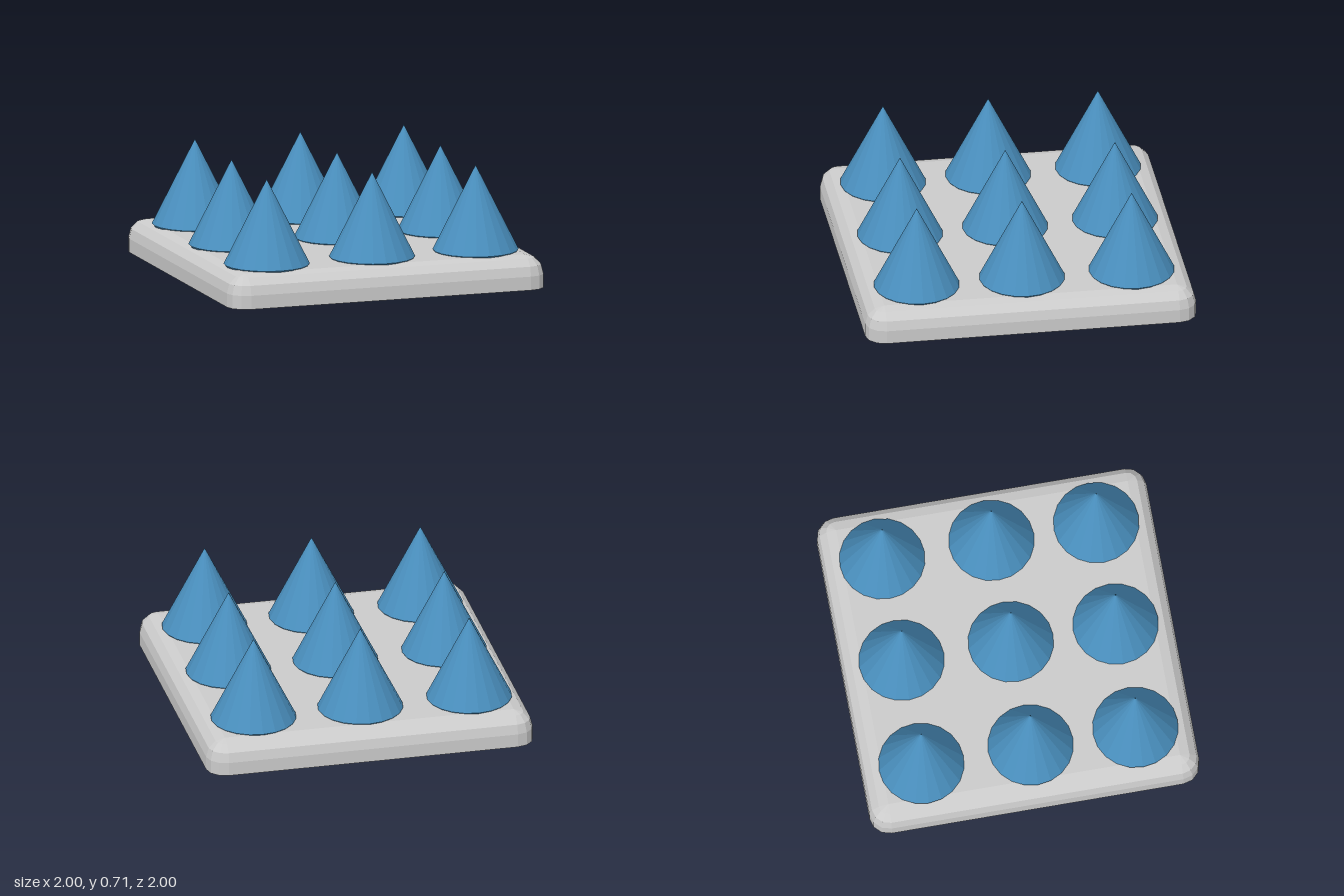
import * as THREE from 'three';

const STEPS = 3; // facets per rounded corner
const R = 0.115; // edge radius of the slab
const HEIGHT = 0.198;

// Rounded-rectangle loop, counter-clockwise seen from above
function slabLoop(radius, y) {
  const c = 1 - R, loop = [];
  [[1, -1], [-1, -1], [-1, 1], [1, 1]].forEach(([sx, sz], q) => {
    for (let i = 0; i <= STEPS; i++) {
      const a = (q + i / STEPS) * Math.PI / 2;
      loop.push([sx * c + radius * Math.cos(a), y, sz * c - radius * Math.sin(a)]);
    }
  });
  return loop;
}

// Flat-bottomed slab with rounded top edges and corners
function slabGeometry() {
  const loops = [slabLoop(R, 0)];
  for (let j = 0; j <= STEPS; j++) {
    const t = j / STEPS * Math.PI / 2;
    loops.push(slabLoop(R * Math.cos(t), HEIGHT - R + R * Math.sin(t)));
  }
  const n = loops[0].length, index = [];
  const bottom = loops.length * n, top = bottom + 1;
  for (let i = 0; i < n; i++) {
    const k = (i + 1) % n;
    for (let j = 0; j < loops.length - 1; j++) {
      const a = j * n + i, b = j * n + k;
      index.push(a, b, b + n, a, b + n, a + n);
    }
    index.push(bottom, k, i, top, bottom - n + i, bottom - n + k);
  }
  const positions = [...loops.flat(), [0, 0, 0], [0, HEIGHT, 0]].flat();
  const geometry = new THREE.BufferGeometry();
  geometry.setAttribute('position', new THREE.Float32BufferAttribute(positions, 3));
  geometry.setIndex(index);
  geometry.computeVertexNormals();
  return geometry;
}

export function createModel() {
  const model = new THREE.Group();
  model.name = 'spikedPlate';

  const grey = new THREE.MeshStandardMaterial({ color: 0xcccccc, flatShading: true });
  const blue = new THREE.MeshStandardMaterial({ color: 0x4a90bf, flatShading: true });

  const base = new THREE.Mesh(slabGeometry(), grey);
  base.name = 'base';
  model.add(base);

  // Cone with a small undercut rim at its foot
  const profile = [[0, 0.19], [0.247, 0.19], [0.257, 0.203], [0, 0.715]];
  const coneGeometry = new THREE.LatheGeometry(profile.map(([x, y]) => new THREE.Vector2(x, y)), 20);

  // Three by three grid of spikes
  const spikes = new THREE.Group();
  spikes.name = 'spikes';
  for (const x of [-0.667, 0, 0.655]) {
    for (const z of [-0.646, 0.017, 0.653]) {
      const spike = new THREE.Mesh(coneGeometry, blue);
      spike.name = 'spike';
      spike.position.set(x, 0, z);
      spikes.add(spike);
    }
  }
  model.add(spikes);
  return model;
}
